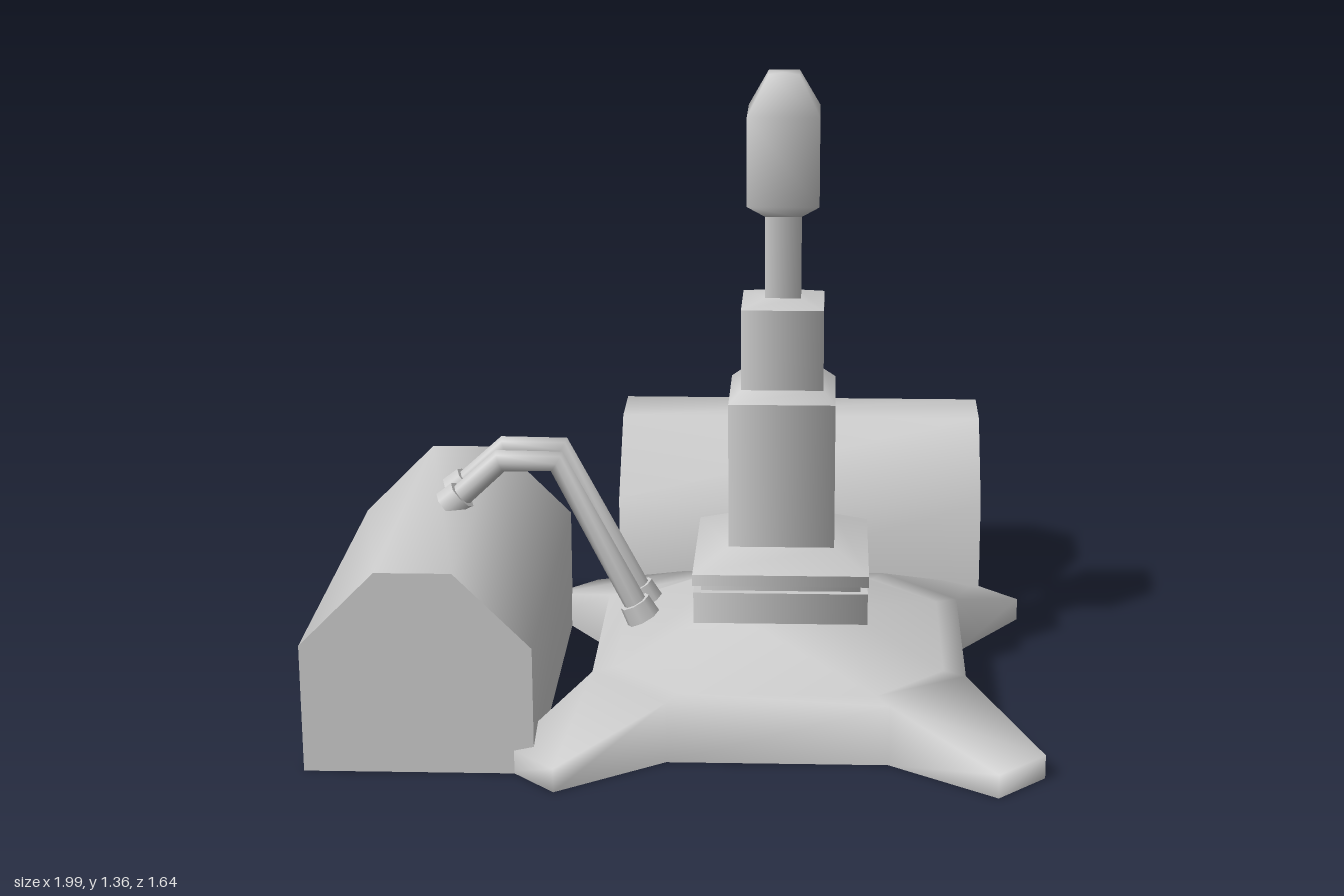
import * as THREE from 'three';
import { mergeVertices, toCreasedNormals } from 'three/addons/utils/BufferGeometryUtils.js';

const grey = new THREE.MeshStandardMaterial({ color: 0xcccccc });
const shell = new THREE.MeshStandardMaterial({ color: 0xcccccc, side: THREE.DoubleSide });
const CZ = 0.127; // centre of the base and tower

function add(parent, name, geometry, material = grey) {
  const mesh = new THREE.Mesh(geometry, material);
  mesh.name = name;
  parent.add(mesh);
  return mesh;
}

// Hollow base: one quarter (foot, skirt, deck, slope) turned four times
function baseGeometry() {
  const pos = [];
  const turn = ([x, y, z], k) => {
    for (let i = 0; i < k; i++) [x, z] = [z, -x];
    return [x, y, z];
  };
  for (let k = 0; k < 4; k++) {
    const p = (x, y, z, q = 0) => turn([x, y, z], k + q);
    const tri = (a, b, c) => pos.push(...a, ...b, ...c);
    const quad = (a, b, c, d) => { tri(a, b, c); tri(a, c, d); };
    const root = (s, y, q) => p(s * 0.115, y, 0.435, q);
    const tip = (s, y) => p(s * 0.07, y, 0.695);
    const deck = (s, q) => p(s * 0.1, 0.132, 0.385, q);
    const peak = (q) => p(0, 0.235, 0.17, q);
    quad(root(-1, 0.13), tip(-1, 0.05), tip(1, 0.05), root(1, 0.13));
    quad(tip(-1, 0), tip(1, 0), tip(1, 0.05), tip(-1, 0.05));
    quad(tip(1, 0), root(1, 0), root(1, 0.13), tip(1, 0.05));
    quad(root(-1, 0), tip(-1, 0), tip(-1, 0.05), root(-1, 0.13));
    quad(root(1, 0), root(-1, 0, 1), root(-1, 0.13, 1), root(1, 0.13));
    quad(deck(-1), root(-1, 0.13), root(1, 0.13), deck(1));
    quad(deck(1), root(1, 0.13), root(-1, 0.13, 1), deck(-1, 1));
    tri(peak(), deck(-1), deck(1));
    quad(peak(), deck(1), deck(-1, 1), peak(1));
  }
  let g = new THREE.BufferGeometry();
  g.setAttribute('position', new THREE.Float32BufferAttribute(pos, 3));
  g = mergeVertices(g, 1e-4);
  g.computeVertexNormals();
  return g;
}

// Four-sided tower piece with a corner facing front
function tier(parent, name, rBottom, rTop, y0, y1) {
  add(parent, name, new THREE.CylinderGeometry(rTop, rBottom, y1 - y0, 4)).position.y = (y0 + y1) / 2;
}

// Path of straight pieces with mitred bends
class BentPath extends THREE.Curve {
  constructor(points) { super(); this.points = points; }
  getPoint(t) {
    const n = this.points.length - 1;
    const i = Math.min(Math.floor(t * n + 1e-9), n - 1);
    return this.points[i].clone().lerp(this.points[i + 1], t * n - i);
  }
  getTangent(t) {
    const n = this.points.length - 1;
    const dir = (i) => {
      i = Math.max(0, Math.min(n - 1, i));
      return this.points[i + 1].clone().sub(this.points[i]).normalize();
    };
    return dir(Math.floor(t * n - 1e-4)).add(dir(Math.floor(t * n + 1e-4))).normalize();
  }
  getPointAt(t) { return this.getPoint(t); }
  getTangentAt(t) { return this.getTangent(t); }
}

// Collar around a pipe end, pointing along the pipe
function socket(parent, from, to) {
  const dir = to.clone().sub(from).normalize();
  const mesh = add(parent, 'pipeSocket', new THREE.CylinderGeometry(0.034, 0.038, 0.04, 8));
  mesh.position.copy(from).addScaledVector(dir, 0.012);
  mesh.quaternion.setFromUnitVectors(new THREE.Vector3(0, 1, 0), dir);
}

export function createModel() {
  const model = new THREE.Group();
  model.name = 'towerWithTanks';

  add(model, 'footedBase', baseGeometry(), shell).position.z = CZ;

  // Tower
  const tower = new THREE.Group();
  tower.name = 'tower';
  tower.position.z = CZ + 0.003;
  model.add(tower);
  tier(tower, 'lowerPlate', 0.257, 0.257, 0.225, 0.292);
  tier(tower, 'plateGap', 0.235, 0.235, 0.29, 0.31);
  tier(tower, 'upperPlate', 0.26, 0.26, 0.308, 0.332);
  tier(tower, 'plateSlope', 0.26, 0.155, 0.332, 0.37);
  tier(tower, 'lowerColumn', 0.157, 0.157, 0.365, 0.68);
  tier(tower, 'columnShoulder', 0.157, 0.12, 0.68, 0.705);
  tier(tower, 'upperColumn', 0.121, 0.121, 0.7, 0.875);
  tier(tower, 'columnTop', 0.121, 0.05, 0.875, 0.89);
  tier(tower, 'neck', 0.053, 0.053, 0.88, 1.075);
  const headProfile = [[0, 1.06], [0.05, 1.06], [0.105, 1.09], [0.105, 1.275], [0.045, 1.355], [0, 1.355]];
  add(tower, 'head', new THREE.LatheGeometry(headProfile.map(([x, y]) => new THREE.Vector2(x, y)), 4));

  // Tank cross-section
  const w = 0.234, t = 0.078;
  const section = new THREE.Shape(
    [[-w, 0], [w, 0], [w, 0.27], [t, 0.427], [-t, 0.427], [-w, 0.27]].map(([x, y]) => new THREE.Vector2(x, y)));
  const tankGeometry = toCreasedNormals(
    new THREE.ExtrudeGeometry(section, { depth: 0.84, bevelEnabled: false }).translate(0, 0, -0.42), 0.9);

  for (const s of [1, -1]) {
    const side = new THREE.Group();
    side.name = s > 0 ? 'leftTank' : 'rightTank';
    model.add(side);
    const tank = add(side, 'tank', tankGeometry);
    tank.position.set(s * 0.535, 0, -0.36);
    tank.rotation.y = s * Math.PI / 4;

    // Pair of pipes from the base to the tank top
    for (const o of [0, 0.07]) {
      const points = [[0.165, 0.185], [0.29, 0.528], [0.375, 0.528], [0.45, 0.43]]
        .map(([x, y]) => new THREE.Vector3(s * (x + o), y, 0.035 - x + o));
      add(side, 'pipe', new THREE.TubeGeometry(new BentPath(points), 3, 0.025, 8));
      socket(side, points[0], points[1]);
      socket(side, points[3], points[2]);
    }
  }
  return model;
}
